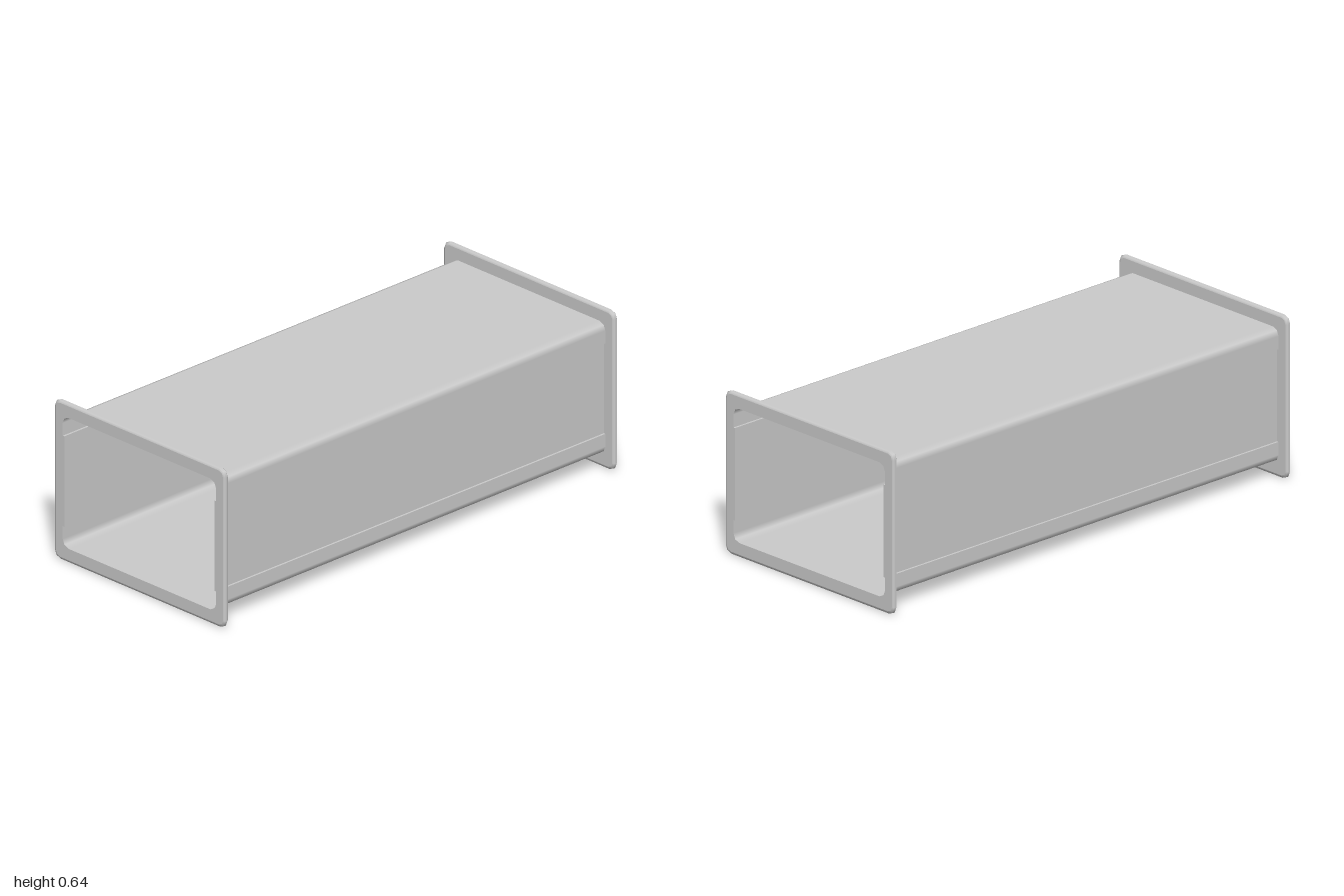
import * as THREE from 'three';

const MID_Y = 0.319; // height of the duct axis
const material = new THREE.MeshStandardMaterial({ color: 0xcccccc, side: THREE.DoubleSide });

// Quarter-round corner: points carrying their outward normal [x, y, nx, ny]
function corner(cx, cy, r, start, steps = 2) {
  return Array.from({ length: steps + 1 }, (_, i) => {
    const a = start + (i / steps) * Math.PI / 2;
    return [cx + r * Math.cos(a), cy + r * Math.sin(a), Math.cos(a), Math.sin(a)];
  });
}

// Complete a right-hand half profile by turning it half way round the axis
const closeLoop = half => [...half, ...half.map(p => p.map(v => -v))];

function roundedLoop(w, h, r) {
  return closeLoop([
    ...corner(w - r, r - h, r, -Math.PI / 2),
    ...corner(w - r, h - r, r, 0),
  ]);
}

// Duct section: rounded rectangle with a shallow recess along each side wall
function ductLoop() {
  const w = 0.4, h = 0.262, r = 0.03, recess = 0.008, s = 0.181;
  return closeLoop([
    ...corner(w - r, r - h, r, -Math.PI / 2),
    [w, -s, 1, 0], [w, -s, 0, 1],
    [w - recess, -s, 0, 1], [w - recess, -s, 1, 0],
    [w - recess, s, 1, 0], [w - recess, s, 0, -1],
    [w, s, 0, -1], [w, s, 1, 0],
    ...corner(w - r, h - r, r, 0),
  ]);
}

// Skin a series of loops; each ring is { loop, z, nz } with nz tilting the normal
function skin(rings) {
  const pos = [], nor = [], index = [], n = rings[0].loop.length;
  for (const { loop, z, nz = 0 } of rings) {
    const flat = Math.sqrt(1 - nz * nz);
    for (const [x, y, nx, ny] of loop) {
      pos.push(x, y, z);
      nor.push(nx * flat, ny * flat, nz);
    }
  }
  for (let k = 0; k < rings.length - 1; k++) {
    for (let i = 0; i < n; i++) {
      const j = (i + 1) % n, p = rings[k].loop[i], q = rings[k].loop[j];
      if (Math.hypot(p[0] - q[0], p[1] - q[1]) < 1e-6) continue; // crease
      const a = k * n + i, b = k * n + j;
      index.push(a, b, b + n, a, b + n, a + n);
    }
  }
  const g = new THREE.BufferGeometry();
  g.setAttribute('position', new THREE.Float32BufferAttribute(pos, 3));
  g.setAttribute('normal', new THREE.Float32BufferAttribute(nor, 3));
  g.setIndex(index);
  return g;
}

function addMesh(parent, name, geometry) {
  const mesh = new THREE.Mesh(geometry, material);
  mesh.name = name;
  parent.add(mesh);
  return mesh;
}

const toPoints = loop => loop
  .filter((p, i) => i === 0 || Math.hypot(p[0] - loop[i - 1][0], p[1] - loop[i - 1][1]) > 1e-6)
  .map(p => new THREE.Vector2(p[0], p[1]));

// Flat collar with a softened outer rim, opening shaped like the duct
function createFlange(name) {
  const flange = new THREE.Group();
  flange.name = name;
  const halfW = 0.447, halfH = MID_Y, radius = 0.032, half = 0.01, bevel = 0.011;
  const outline = d => roundedLoop(halfW - d, halfH - d, radius - d);

  // Rim: inset from the outer edge, depth, normal tilt
  const rim = [
    [bevel, -half, -0.95], [0.003, -0.007, -0.7], [0, -0.003, 0],
    [0, 0.003, 0], [0.003, 0.007, 0.7], [bevel, half, 0.95],
  ];
  addMesh(flange, 'flangeRim', skin(rim.map(([d, z, nz]) => ({ loop: outline(d), z, nz }))));

  // Faces
  const shape = new THREE.Shape(toPoints(outline(bevel)));
  shape.holes.push(new THREE.Path(toPoints(ductLoop())));
  const face = new THREE.ShapeGeometry(shape);
  addMesh(flange, 'flangeOuterFace', face).position.z = half;
  const inner = addMesh(flange, 'flangeInnerFace', face);
  inner.position.z = -half;
  inner.rotation.y = Math.PI;
  return flange;
}

export function createModel() {
  const model = new THREE.Group();
  model.name = 'rectangularDuct';

  // Thin open duct wall running the full length
  const loop = ductLoop();
  addMesh(model, 'ductWall', skin([{ loop, z: 1 }, { loop, z: -1 }].reverse())).position.y = MID_Y;

  // A flange at each end
  for (const side of [1, -1]) {
    const flange = createFlange(side > 0 ? 'frontFlange' : 'backFlange');
    flange.position.set(0, MID_Y, side * 0.99);
    if (side < 0) flange.rotation.y = Math.PI;
    model.add(flange);
  }
  return model;
}
